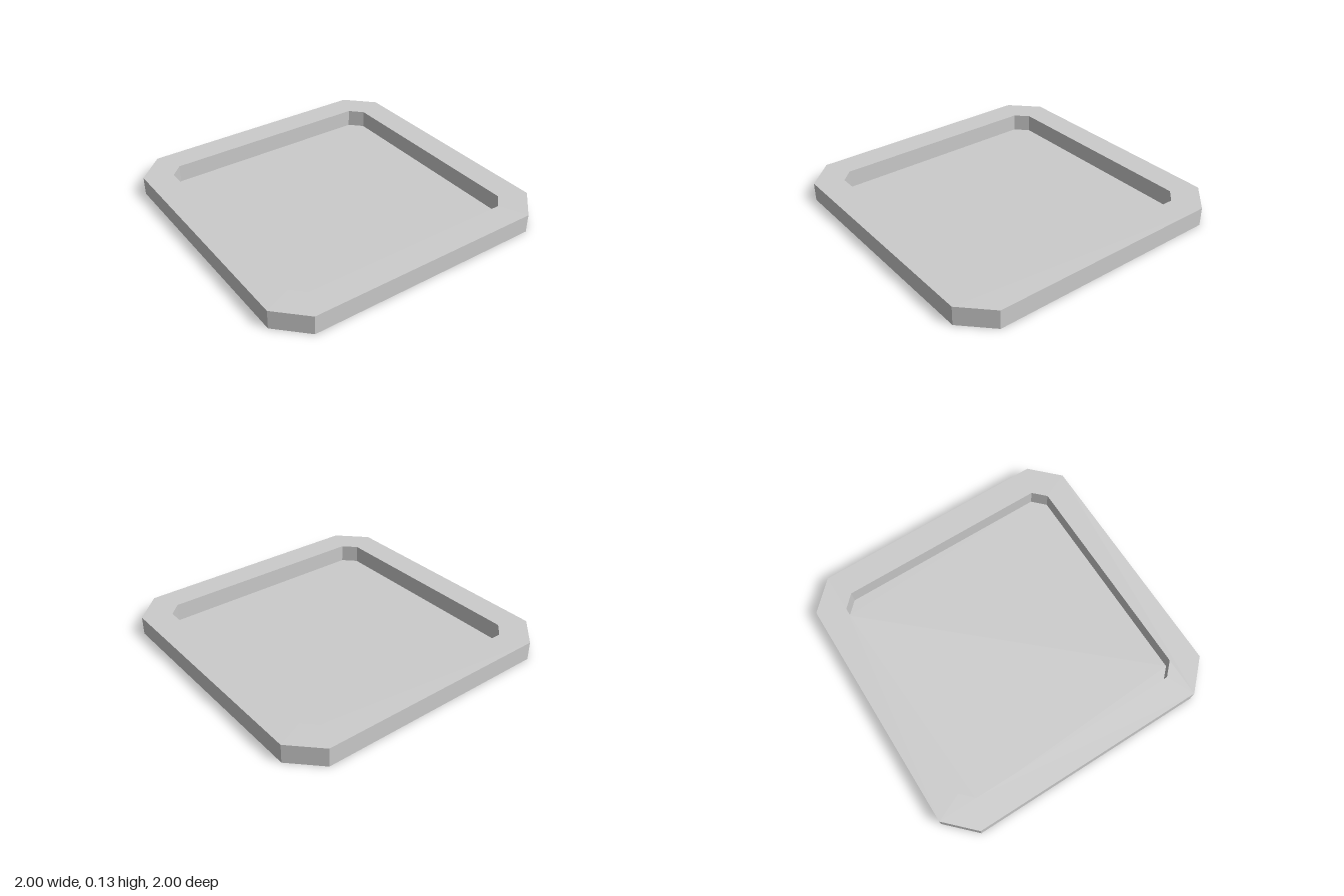
import * as THREE from 'three';

const HEIGHT = 0.127;
const FLOOR = 0.004;

// Square with chamfered corners: half is the half width, flat the half length of each straight side
function chamferedSquare(half, flat, Type = THREE.Shape) {
  const points = [];
  for (let i = 0; i < 4; i++) {
    const turn = i * Math.PI / 2;
    for (const y of [-flat, flat]) {
      points.push(new THREE.Vector2(half, y).rotateAround(new THREE.Vector2(), turn));
    }
  }
  return new Type(points);
}

// Upright prism standing on y = 0
function prism(name, shape, height, material) {
  const geometry = new THREE.ExtrudeGeometry(shape, { depth: height, bevelEnabled: false });
  geometry.rotateX(-Math.PI / 2);
  const mesh = new THREE.Mesh(geometry, material);
  mesh.name = name;
  return mesh;
}

export function createModel() {
  const model = new THREE.Group();
  model.name = 'tray';

  const grey = new THREE.MeshStandardMaterial({ color: 0xcccccc });
  grey.name = 'light grey';

  // Raised rim around the recess
  const rimShape = chamferedSquare(1, 0.815);
  rimShape.holes.push(chamferedSquare(0.815, 0.732, THREE.Path));
  model.add(prism('rim', rimShape, HEIGHT, grey));

  // Thin floor closing the recess
  model.add(prism('floor', chamferedSquare(0.815, 0.732), FLOOR, grey));

  return model;
}
